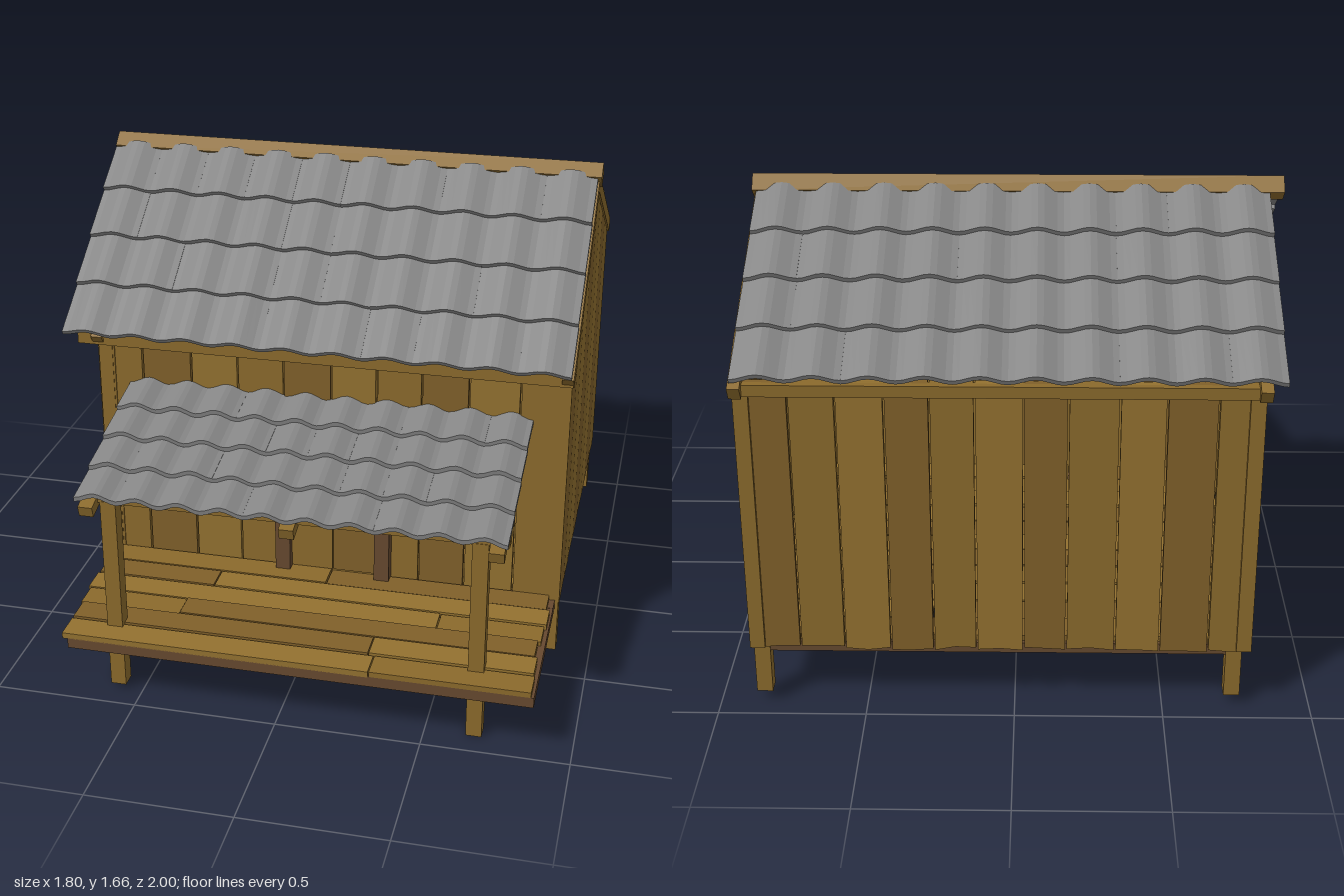
import * as THREE from 'three';

const mat = (color) => new THREE.MeshStandardMaterial({ color, flatShading: true, roughness: 0.9 });

export function createModel() {
  const house = new THREE.Group();
  house.name = 'cabin';
  const woods = [mat(0x8b6a2c), mat(0x80602a), mat(0x937130)];
  const darkWood = mat(0x66492f), slate = mat(0x868686), glass = mat(0x7f9b9d);

  // Seeded jitter in -1..1 for hand-cut boards
  let seed = 7;
  const jit = (a) => {
    seed = (seed * 16807) % 2147483647;
    return (seed / 2147483647 * 2 - 1) * a;
  };
  const group = (name, parent = house) => {
    const g = new THREE.Group();
    g.name = name;
    parent.add(g);
    return g;
  };
  const add = (parent, name, geo, m) => {
    const mesh = new THREE.Mesh(geo, m);
    mesh.name = name;
    parent.add(mesh);
    return mesh;
  };
  // Box given by its limits on each axis
  const box = (parent, name, x0, x1, y0, y1, z0, z1, m = woods[0]) => {
    const mesh = add(parent, name, new THREE.BoxGeometry(x1 - x0, y1 - y0, z1 - z0), m);
    mesh.position.set((x0 + x1) / 2, (y0 + y1) / 2, (z0 + z1) / 2);
    return mesh;
  };
  // Square bar whose centre line runs between two (z, y) points at a given x
  const rafter = (parent, x, zA, yA, zB, yB, w = 0.04, h = 0.05) => {
    const len = Math.hypot(zB - zA, yB - yA);
    const mesh = add(parent, 'rafter', new THREE.BoxGeometry(w, h, len), woods[0]);
    mesh.position.set(x, (yA + yB) / 2, (zA + zB) / 2);
    mesh.rotation.x = Math.atan2(yA - yB, zB - zA);
  };

  // Underside of the main roof at a given z
  const ridgeZ = -0.24;
  const roofY = (z) => 1.585 - (z > ridgeZ ? 0.77 * (z - ridgeZ) : 0.55 * (ridgeZ - z));

  // Upright wall boards cut to a top line, with rough lower ends
  const boards = (parent, from, to, count, top, depth = 0.025, bottom = 0.225) => {
    const step = (to - from) / count;
    let a = from;
    for (let i = 0; i < count; i++) {
      const b = i === count - 1 ? to : from + step * (i + 1) + jit(0.012);
      const l = a + 0.003, r = b - 0.003;
      const pts = [[l, bottom + jit(0.008)], [(l + r) / 2, bottom + jit(0.01)], [r, bottom + jit(0.008)], [r, top(r)]];
      if (l < ridgeZ && r > ridgeZ) pts.push([ridgeZ, top(ridgeZ)]);
      pts.push([l, top(l)]);
      const shape = new THREE.Shape(pts.map((p) => new THREE.Vector2(...p)));
      const geo = new THREE.ExtrudeGeometry(shape, { depth: depth + jit(0.005), bevelEnabled: false });
      add(parent, 'wallBoard', geo, woods[i % 3]);
      a = b;
    }
  };
  const frontWall = group('frontWall');
  boards(frontWall, -0.785, 0.875, 10, () => 1.13);
  frontWall.position.z = 0.35;
  const backWall = group('backWall');
  boards(backWall, -0.785, 0.875, 11, () => 1.2);
  backWall.position.z = -0.94;
  for (const [name, x] of [['leftGable', -0.77], ['rightGable', 0.885]]) {
    const gable = group(name);
    boards(gable, -0.92, 0.375, 8, roofY);
    gable.rotation.y = -Math.PI / 2;
    gable.position.x = x;
  }

  // House corner posts and porch posts
  const posts = group('posts');
  for (const [x, z, y0, y1] of [[-0.76, 0.355, 0.03, 1.1], [0.855, 0.355, 0.03, 1.1],
    [-0.735, -0.9, 0.04, 1.17], [0.85, -0.9, 0.04, 1.17], [-0.585, 0.89, 0.02, 0.74], [0.667, 0.89, 0, 0.74]]) {
    box(posts, 'post', x - 0.027, x + 0.027, y0, y1, z - 0.027, z + 0.027);
  }
  // Slim trim strips on the outside corners
  for (const x of [-0.765, 0.86]) {
    for (const z of [0.36, -0.93]) box(posts, 'cornerTrim', x - 0.025, x + 0.025, 0.23, z > 0 ? 1.1 : 1.17, z - 0.024, z + 0.024);
  }

  // Dark floor frame
  const frame = group('floorFrame');
  for (const z of [-0.9, -0.27, 0.32, 0.42, 0.975]) box(frame, 'crossBeam', -0.73, 0.87, 0.2, 0.238, z - 0.022, z + 0.022, darkWood);
  for (const x of [-0.71, 0.85]) box(frame, 'sideBeam', x - 0.02, x + 0.02, 0.201, 0.237, -0.92, 0.995, darkWood);

  // Floor and porch deck: each row is two boards meeting at a different spot
  const floorRows = (parent, z0, z1, rows, x0, x1, rough) => {
    const w = (z1 - z0) / rows;
    for (let i = 0; i < rows; i++) {
      const split = 0.05 + jit(0.45), z = z0 + i * w;
      const ends = [x0 + jit(rough), split, x1 + jit(rough)];
      for (let k = 0; k < 2; k++) {
        box(parent, 'floorBoard', ends[k] + 0.002, ends[k + 1] - 0.002, 0.235, 0.258 + jit(0.005), z + 0.003, z + w - 0.003, woods[(i + k) % 3]);
      }
    }
  };
  floorRows(group('houseFloor'), -0.91, 0.35, 11, -0.76, 0.86, 0);
  floorRows(group('porchDeck'), 0.38, 1, 6, -0.755, 0.86, 0.015);

  // Door with dark frame
  const door = group('door');
  for (let i = 0; i < 2; i++) box(door, 'doorBoard', -0.09 + i * 0.155, 0.06 + i * 0.155, 0.262, 0.85, 0.37, 0.388, woods[i]);
  for (const x of [-0.117, 0.247]) box(door, 'doorJamb', x - 0.027, x + 0.027, 0.255, 0.85, 0.365, 0.42, darkWood);
  box(door, 'doorHeader', -0.15, 0.28, 0.85, 0.895, 0.365, 0.42, darkWood);

  // Four-pane window in the -x gable
  const win = group('window');
  const [wz0, wz1, wy0, wy1] = [-0.55, 0.14, 0.64, 1.08];
  const midZ = (wz0 + wz1) / 2, midY = (wy0 + wy1) / 2;
  box(win, 'pane', -0.808, -0.79, wy0, wy1, wz0, wz1, glass);
  for (const z of [wz0, wz1]) box(win, 'windowSide', -0.825, -0.785, wy0 - 0.02, wy1 + 0.02, z - 0.02, z + 0.02, darkWood);
  for (const y of [wy0, wy1]) box(win, 'windowRail', -0.824, -0.785, y - 0.02, y + 0.02, wz0, wz1, darkWood);
  box(win, 'mullion', -0.818, -0.785, wy0, wy1, midZ - 0.014, midZ + 0.014, darkWood);
  box(win, 'mullion', -0.817, -0.785, midY - 0.014, midY + 0.014, wz0, wz1, darkWood);

  // Curved tile: a wave-shaped strip extruded down the slope
  const tileGeometry = (w, len) => {
    const n = 8, thick = 0.017, low = [], high = [];
    for (let i = 0; i <= n; i++) {
      const u = i / n, h = 0.0115 * (1 - Math.cos(2 * Math.PI * u));
      low.push(new THREE.Vector2((u - 0.5) * w, h));
      high.unshift(new THREE.Vector2((u - 0.5) * w, h + thick));
    }
    return new THREE.ExtrudeGeometry(new THREE.Shape([...low, ...high]), { depth: len, bevelEnabled: false });
  };
  // Tiled slope from a top (z, y) point down to an eave point
  const tiledSlope = (name, x0, x1, cols, rows, zT, yT, zE, yE) => {
    const roof = group(name), back = zE < zT;
    const len = Math.hypot(zE - zT, yE - yT) / rows, w = (x1 - x0) / cols;
    const geo = tileGeometry(w * 1.01, len * 1.04);
    for (let r = 0; r < rows; r++) {
      for (let c = 0; c < cols; c++) {
        const tile = add(roof, 'roofTile', geo, slate);
        tile.position.set((c - (cols - 1) / 2) * w, jit(0.001), (r - 0.04) * len);
        tile.rotation.x = -0.016 / len;
        tile.rotation.z = jit(0.012);
      }
    }
    roof.position.set((x0 + x1) / 2, yT, zT);
    roof.rotation.set(Math.atan2(yT - yE, Math.abs(zE - zT)), back ? Math.PI : 0, 0, 'YXZ');
  };
  tiledSlope('frontRoof', -0.9, 0.885, 10, 4, -0.22, 1.605, 0.425, 1.105);
  tiledSlope('backRoof', -0.85, 0.885, 10, 4, -0.26, 1.6, -0.975, 1.2);
  tiledSlope('porchRoof', -0.68, 0.76, 10, 4, 0.375, 0.915, 0.967, 0.745);

  // Ridge beam set on edge, rafters and eave beams
  const timbers = group('roofTimbers');
  const ridge = add(timbers, 'ridgeBeam', new THREE.BoxGeometry(1.8, 0.062, 0.062), woods[0]);
  ridge.position.set(0, 1.62, ridgeZ);
  ridge.rotation.x = Math.PI / 4.4;
  for (const x of [-0.785, 0.872]) {
    rafter(timbers, x, ridgeZ, 1.588, 0.405, 1.092);
    rafter(timbers, x, ridgeZ, 1.585, -0.985, 1.178);
  }
  box(timbers, 'frontEaveBeam', -0.86, 0.89, 1.075, 1.12, 0.36, 0.4);
  box(timbers, 'backEaveBeam', -0.8, 0.88, 1.16, 1.2, -0.965, -0.93);
  for (const x of [-0.645, 0.04, 0.725]) rafter(timbers, x, 0.38, 0.89, 0.965, 0.722, 0.05, 0.04);
  box(timbers, 'porchBeam', -0.67, 0.76, 0.735, 0.772, 0.865, 0.915);
  return house;
}
